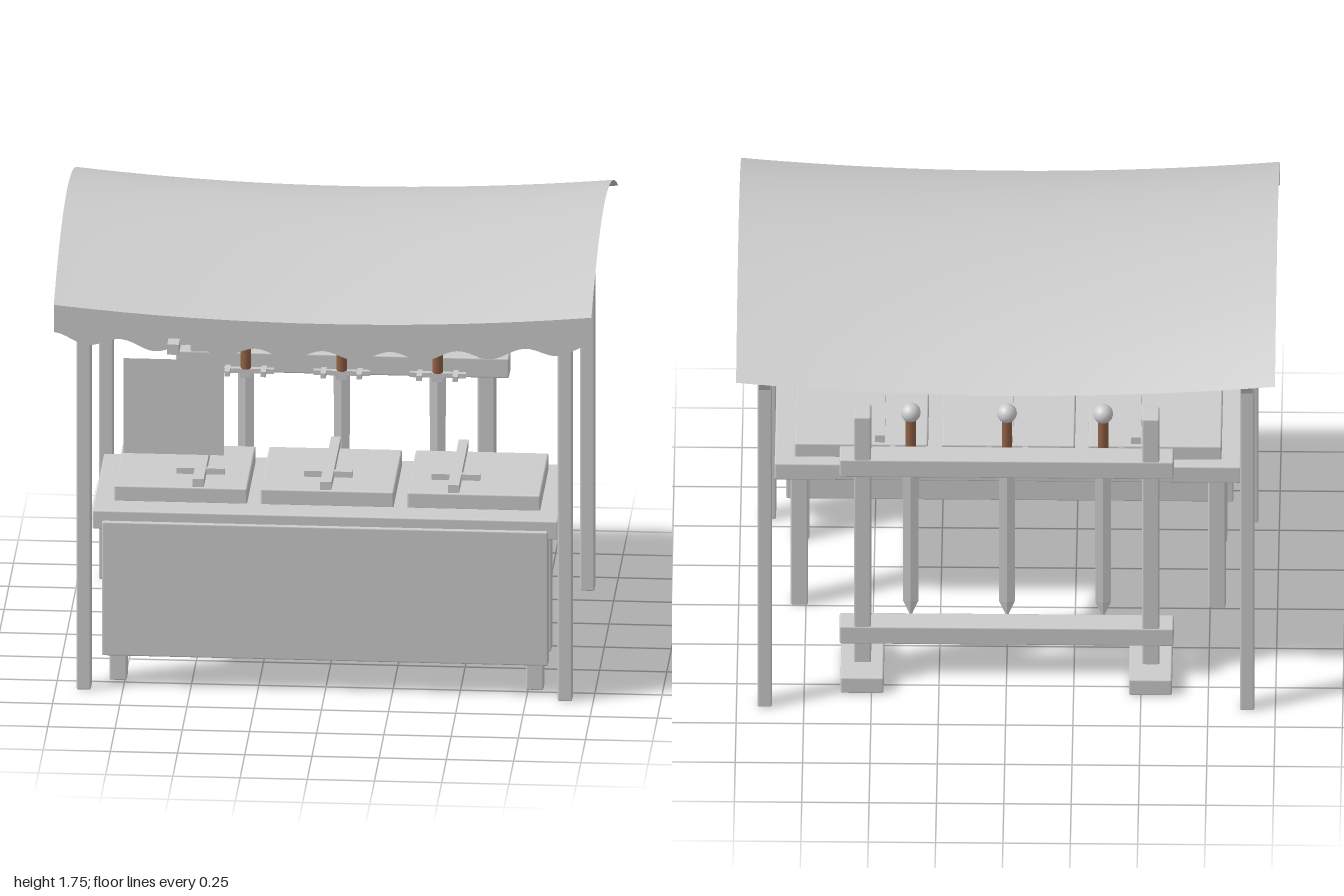
import * as THREE from 'three';
import { RoundedBoxGeometry } from 'three/addons/geometries/RoundedBoxGeometry.js';

const grey = new THREE.MeshStandardMaterial({ color: 0xcccccc });
grey.name = 'plain grey';
const cloth = new THREE.MeshStandardMaterial({ color: 0xcccccc, side: THREE.DoubleSide });
cloth.name = 'cloth grey';
const wood = new THREE.MeshStandardMaterial({ color: 0x8f6044 });
wood.name = 'grip brown';

// Canopy profile: arch across z, sagging towards x = 0
const ZC = -0.03, HALF = 0.715, SAG = 0.05;
const arch = (z) => 1.75 - 0.198 * ((z - ZC) / HALF) ** 2;
const sag = (x) => SAG * (1 - x * x);

function add(parent, name, geometry, material = grey) {
  const mesh = new THREE.Mesh(geometry, material);
  mesh.name = name;
  parent.add(mesh);
  return mesh;
}

// Box given by its limits; bevel > 0 softens the edges
function block(parent, name, [x0, x1], [y0, y1], [z0, z1], bevel = 0.007, material = grey) {
  const s = [x1 - x0, y1 - y0, z1 - z0];
  const g = bevel ? new RoundedBoxGeometry(...s, 1, bevel) : new THREE.BoxGeometry(...s);
  const mesh = add(parent, name, g, material);
  mesh.position.set((x0 + x1) / 2, (y0 + y1) / 2, (z0 + z1) / 2);
  return mesh;
}

const around = (c, width) => [c - width / 2, c + width / 2];

function group(parent, name) {
  const g = new THREE.Group();
  g.name = name;
  parent.add(g);
  return g;
}

function buildCanopy(parent) {
  const canopy = group(parent, 'canopy');

  // Curved cloth roof
  const roof = new THREE.PlaneGeometry(2, 2 * HALF, 24, 12).rotateX(-Math.PI / 2).translate(0, 0, ZC);
  const p = roof.attributes.position;
  for (let i = 0; i < p.count; i++) p.setY(i, arch(p.getZ(i)) - sag(p.getX(i)));
  roof.computeVertexNormals();
  add(canopy, 'roofCloth', roof, cloth);

  // Scalloped front valance
  const valance = new THREE.PlaneGeometry(2, 1, 96, 1);
  const v = valance.attributes.position;
  for (let i = 0; i < v.count; i++) {
    const x = v.getX(i);
    const top = arch(ZC + HALF) - sag(x);
    const drop = 0.125 - 0.018 * Math.cos(x * Math.PI * 8);
    v.setXYZ(i, x, v.getY(i) > 0 ? top : top - drop, ZC + HALF);
  }
  add(canopy, 'valance', valance, cloth);

  // Arched beams under the roof
  const upper = [], lower = [];
  for (let i = 0; i <= 16; i++) {
    const z = ZC + HALF * (i / 8 - 1);
    const n = new THREE.Vector2(0.396 * (z - ZC) / HALF ** 2, 1).normalize();
    const at = (d) => new THREE.Vector2(z - n.x * d, arch(z) - n.y * d);
    upper.push(at(0.016));
    lower.unshift(at(0.06));
  }
  const shape = new THREE.Shape([...upper, ...lower]);
  for (const s of [-1, 1]) {
    const g = new THREE.ExtrudeGeometry(shape, { depth: 0.042, bevelEnabled: false });
    g.translate(0, 0, -0.021).rotateY(-Math.PI / 2);
    add(canopy, 'archBeam', g).position.x = s * 0.895;
  }
}

function buildFrame(parent) {
  const frame = group(parent, 'frame');
  for (const z of [0.57, -0.622]) {
    for (const x of [-0.895, 0.895]) block(frame, 'cornerPost', around(x, 0.054), [0, 1.54], around(z, 0.054));
    block(frame, 'topRail', [-0.88, 0.88], [1.465, 1.505], around(z, 0.04), 0.005);
  }
  // Hanging sign and its bracket
  block(frame, 'signBracket', around(-0.552, 0.043), [1.39, 1.43], [0.56, 0.75], 0);
  const sign = add(frame, 'signBoard', new THREE.PlaneGeometry(0.375, 0.375), cloth);
  sign.position.set(-0.552, 1.17, 0.71);
}

function buildTable(parent) {
  const table = group(parent, 'table');
  block(table, 'tableTop', [-0.866, 0.866], [0.62, 0.695], [-0.066, 0.551]);
  block(table, 'frontPanel', [-0.83, 0.83], [0.125, 0.655], [0.502, 0.563]);
  for (const x of [-0.775, 0.775])
    for (const z of [0.034, 0.452]) block(table, 'tableLeg', around(x, 0.065), [0, 0.63], around(z, 0.065));

  // Display boards, each with a short sword lying on it
  for (const i of [-1, 0, 1]) {
    block(table, 'displayBoard', around(i * 0.545, 0.495), [0.69, 0.755], [-0.02, 0.442]);
    const sword = group(table, 'shortSword');
    sword.position.x = i * 0.475;
    block(sword, 'shortBlade', around(0, 0.036), [0.767, 0.798], [-0.025, 0.42], 0);
    block(sword, 'shortGuard', around(0, 0.18), [0.787, 0.81], [0.363, 0.386], 0);
    block(sword, 'shortGrip', around(0, 0.042), [0.784, 0.815], [0.375, 0.515], 0);
  }
}

// Upright long sword, hanging point down
function buildLongSword(parent, x) {
  const sword = group(parent, 'longSword');
  sword.position.set(x, 0, -0.338);
  const diamond = (rTop, rBottom, h) =>
    new THREE.CylinderGeometry(rTop, rBottom, h, 4).toNonIndexed().scale(1, 1, 0.22);
  const blade = diamond(0.03, 0.029, 0.66);
  const tip = diamond(0.029, 0.001, 0.07);
  for (const g of [blade, tip]) g.computeVertexNormals();
  add(sword, 'longBlade', blade).position.y = 0.6;
  add(sword, 'bladeTip', tip).position.y = 0.235;
  block(sword, 'longGuard', around(0, 0.21), [0.928, 0.946], around(0, 0.02), 0);
  block(sword, 'guardBlock', around(0, 0.04), [0.912, 0.946], around(0, 0.028), 0);
  add(sword, 'longGrip', new THREE.CylinderGeometry(0.019, 0.019, 0.185, 12), wood).position.y = 1.038;
  add(sword, 'pommel', new THREE.SphereGeometry(0.037, 20, 14)).position.y = 1.13;
  // Pegs that carry the guard
  for (const s of [-1, 1]) block(sword, 'peg', around(s * 0.067, 0.02), [0.926, 0.946], [-0.04, 0.043], 0);
}

function buildRack(parent) {
  const rack = group(parent, 'swordRack');
  for (const x of [-0.535, 0.535]) {
    block(rack, 'rackPost', around(x, 0.064), [0.06, 1.19], [-0.457, -0.368]);
    block(rack, 'rackFoot', around(x, 0.16), [0, 0.072], [-0.557, -0.266]);
  }
  for (const y of [0.195, 0.957])
    block(rack, 'rackRail', [-0.62, 0.62], around(y, 0.08), [-0.459, -0.366]);
  for (const i of [-1, 0, 1]) buildLongSword(rack, i * 0.357);
}

export function createModel() {
  const model = new THREE.Group();
  model.name = 'marketStall';
  buildCanopy(model);
  buildFrame(model);
  buildTable(model);
  buildRack(model);
  return model;
}
